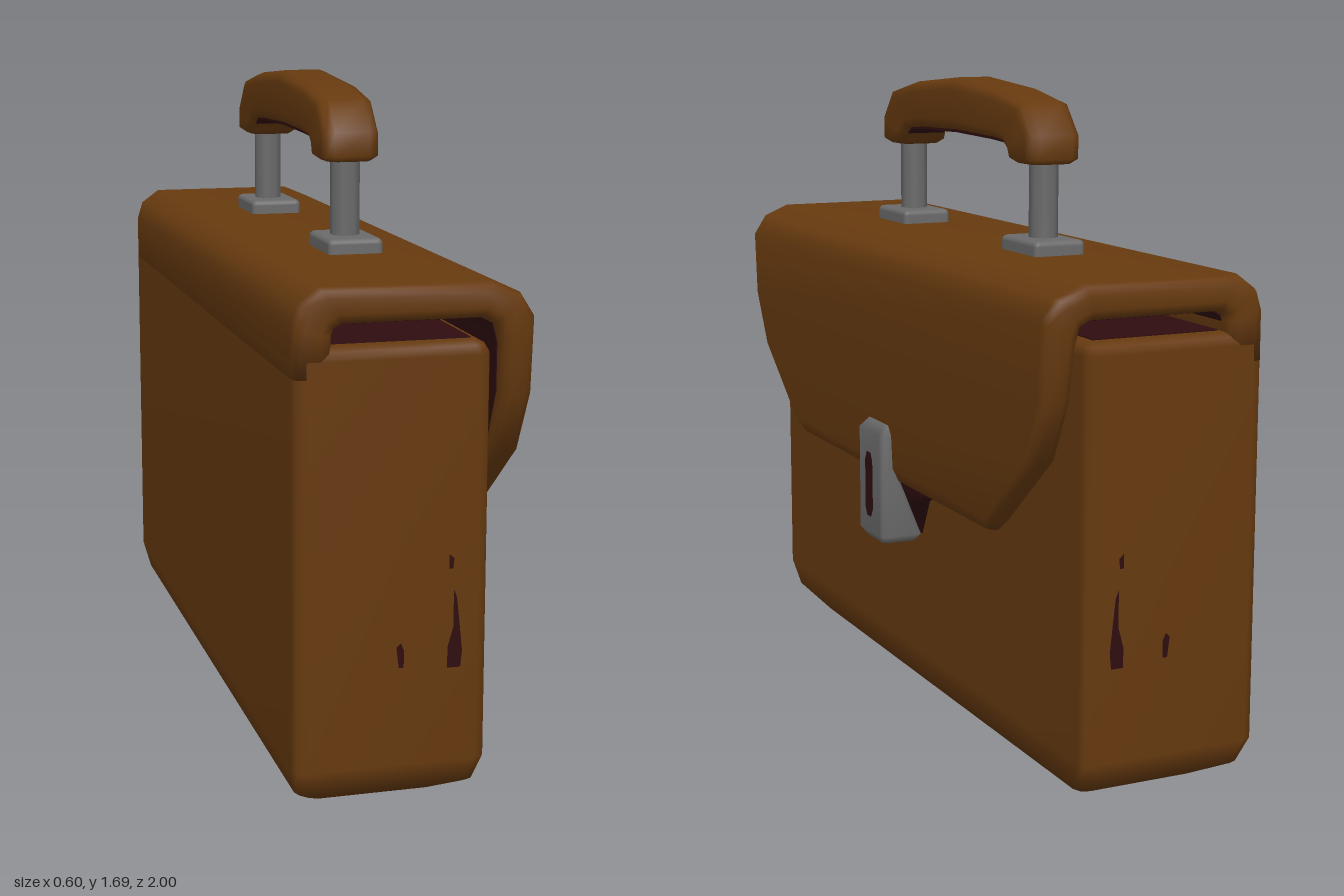
import * as THREE from 'three';
import { RoundedBoxGeometry } from 'three/addons/geometries/RoundedBoxGeometry.js';

const material = (name, color) => Object.assign(new THREE.MeshStandardMaterial({ color }), { name });
const V = (x, y, z) => new THREE.Vector3(x, y, z);
const X = V(1, 0, 0), Z = V(0, 0, 1);

// Rectangle with softened corners, spanning a to b and +-half along dir
function ring(a, b, dir, half, chamfer = 0.03) {
  const c = Math.min(chamfer, half * 0.4);
  const u = Math.min(0.3, chamfer / a.distanceTo(b));
  const side = [[0, half - c], [u * 0.29, half - c * 0.29], [u, half]];
  const far = side.map(([t, w]) => [1 - t, w]).reverse();
  const top = [...side, ...far];
  const all = [...top, ...top.map(([t, w]) => [t, -w]).reverse()];
  return all.map(([t, w]) => a.clone().lerp(b, t).addScaledVector(dir, w));
}

// Closed, smooth skin over a row of equal-sized rings
function loft(rings) {
  const n = rings[0].length, pts = rings.flat(), faces = [];
  for (let i = 0; i < rings.length - 1; i++) {
    for (let j = 0; j < n; j++) {
      const a = i * n + j, b = i * n + (j + 1) % n;
      faces.push([a, b, b + n], [a, b + n, a + n]);
    }
  }
  [0, rings.length - 1].forEach((r, end) => {
    const centre = pts.length;
    pts.push(rings[r].reduce((s, p) => s.add(p), V(0, 0, 0)).divideScalar(n));
    for (let j = 0; j < n; j++) {
      const a = r * n + j, b = r * n + (j + 1) % n;
      faces.push(end ? [centre, a, b] : [centre, b, a]);
    }
  });
  // Turn every face outward
  const volume = faces.reduce((s, [a, b, c]) => s + pts[a].dot(pts[b].clone().cross(pts[c])), 0);
  if (volume < 0) faces.forEach(f => f.reverse());
  const g = new THREE.BufferGeometry().setFromPoints(pts);
  g.setIndex(faces.flat());
  g.computeVertexNormals();
  return g;
}

export function createModel() {
  const model = new THREE.Group();
  model.name = 'briefcase';
  const leather = material('brown leather', 0x673a0f);
  const metal = material('grey metal', 0x6b6b6b);
  const dark = material('dark maroon lining', 0x2f0d0f);
  const add = (name, geometry, mat, x = 0, y = 0, z = 0) => {
    const mesh = new THREE.Mesh(geometry, mat);
    mesh.name = name;
    mesh.position.set(x, y, z);
    model.add(mesh);
    return mesh;
  };

  // Upright solid from levels of [y, xMin, xMax, half depth]
  const upright = (levels, chamfer) =>
    loft(levels.map(([y, x0, x1, h]) => ring(V(x0, y, 0), V(x1, y, 0), Z, h, chamfer)));

  // Case body with bevelled base
  add('caseBody', upright([
    [0, -0.23, 0.10, 0.85], [0.06, -0.283, 0.155, 0.965], [0.13, -0.30, 0.17, 1],
    [1.10, -0.30, 0.17, 1], [1.12, -0.29, 0.16, 0.99], [1.13, -0.27, 0.14, 0.97],
  ]), leather);
  add('bodyTopLining', new THREE.BoxGeometry(0.33, 0.006, 1.9), dark, -0.035, 1.13, 0);

  // Flap: back, over the top and down the front; [outer x, y, inner x, y, half width]
  const flap = [
    [-0.30, 1.06, -0.21, 1.06, 1], [-0.30, 1.18, -0.205, 1.155, 1],
    [-0.285, 1.228, -0.20, 1.17, 1], [-0.235, 1.265, -0.18, 1.18, 1],
    [0.17, 1.265, 0.15, 1.18, 1], [0.24, 1.235, 0.18, 1.165, 1],
    [0.275, 1.18, 0.192, 1.12, 1], [0.275, 1.0, 0.197, 1.0, 0.985],
    [0.27, 0.85, 0.198, 0.85, 0.915], [0.262, 0.66, 0.20, 0.66, 0.69],
    [0.245, 0.625, 0.21, 0.625, 0.65],
  ].map(([ox, oy, ix, iy, half]) => ({ a: V(ox, oy, 0), b: V(ix, iy, 0), half }));

  // Grip: half of the arch as [outer z, y, inner z, y, half width], then mirrored
  const halfGrip = [
    [0.465, 1.487, 0.35, 1.487, 0.055], [0.48, 1.50, 0.335, 1.50, 0.073],
    [0.48, 1.56, 0.325, 1.52, 0.073], [0.415, 1.637, 0.30, 1.535, 0.073],
    [0.27, 1.665, 0.22, 1.54, 0.073], [0, 1.686, 0, 1.545, 0.073],
  ];
  const mirrored = halfGrip.slice(0, -1).reverse().map(([oz, oy, iz, iy, h]) => [-oz, oy, -iz, iy, h]);
  const grip = [...halfGrip, ...mirrored].map(([oz, oy, iz, iy, half]) =>
    ({ a: V(-0.017, oy, oz), b: V(-0.017, iy, iz), half }));

  // Solid band and the thin lining on its inner face
  const band = (stations, dir) => loft(stations.map(s => ring(s.a, s.b, dir, s.half)));
  const lining = (stations, dir, inset) => loft(stations.map(s => ring(
    s.a.clone().lerp(s.b, 0.97), s.a.clone().lerp(s.b, 1.03), dir, s.half - inset, 0.001)));
  add('flap', band(flap, Z), leather);
  add('flapLining', lining(flap.slice(1, 10), Z, 0.04), dark);
  add('handleGrip', band(grip, X), leather);
  add('gripLining', lining(grip.slice(2, -2), X, 0.02), dark);

  // Handle posts and base plates
  for (const s of [1, -1]) {
    const post = new THREE.CylinderGeometry(0.037, 0.037, 0.26, 8);
    post.rotateY(Math.PI / 8);
    add('handlePost', post, metal, -0.017, 1.40, s * 0.41);
    add('handlePlate', new RoundedBoxGeometry(0.14, 0.05, 0.20, 2, 0.014), metal, -0.015, 1.277, s * 0.41);
  }

  // Tongue below the flap, clasp and keyhole
  add('tongue', upright([
    [0.47, 0.165, 0.18, 0.07], [0.57, 0.165, 0.215, 0.12],
    [0.625, 0.165, 0.235, 0.24], [0.95, 0.165, 0.185, 0.24],
  ], 0.005), dark);
  add('clasp', upright([
    [0.45, 0.185, 0.28, 0.062], [0.472, 0.175, 0.295, 0.083], [0.62, 0.235, 0.295, 0.083],
    [0.75, 0.25, 0.295, 0.083], [0.775, 0.255, 0.272, 0.065],
  ], 0.015), metal);

  // Flat plate outlined by a few points
  const plate = points => new THREE.ShapeGeometry(new THREE.Shape(points.map(p => new THREE.Vector2(...p))));
  const keyhole = plate([
    [-0.013, 0.515], [0.013, 0.515], [0.027, 0.54], [0.025, 0.67],
    [0.013, 0.693], [-0.013, 0.693], [-0.025, 0.67], [-0.027, 0.54],
  ]);
  add('keyhole', keyhole.rotateY(Math.PI / 2), dark, 0.297, 0, 0);

  // Dark scuffs on both ends
  const scuffs = [
    [[0.068, 0.36], [0.10, 0.36], [0.104, 0.40], [0.09, 0.53], [0.082, 0.55], [0.082, 0.46], [0.068, 0.41]],
    [[-0.05, 0.37], [-0.038, 0.37], [-0.037, 0.41], [-0.045, 0.43], [-0.056, 0.42]],
    [[0.07, 0.60], [0.08, 0.60], [0.082, 0.625], [0.07, 0.635]],
  ];
  dark.side = THREE.DoubleSide;
  for (const s of [1, -1]) {
    scuffs.forEach(points => add('endScuff', plate(points), dark, 0, 0, s * 1.002));
  }
  return model;
}
